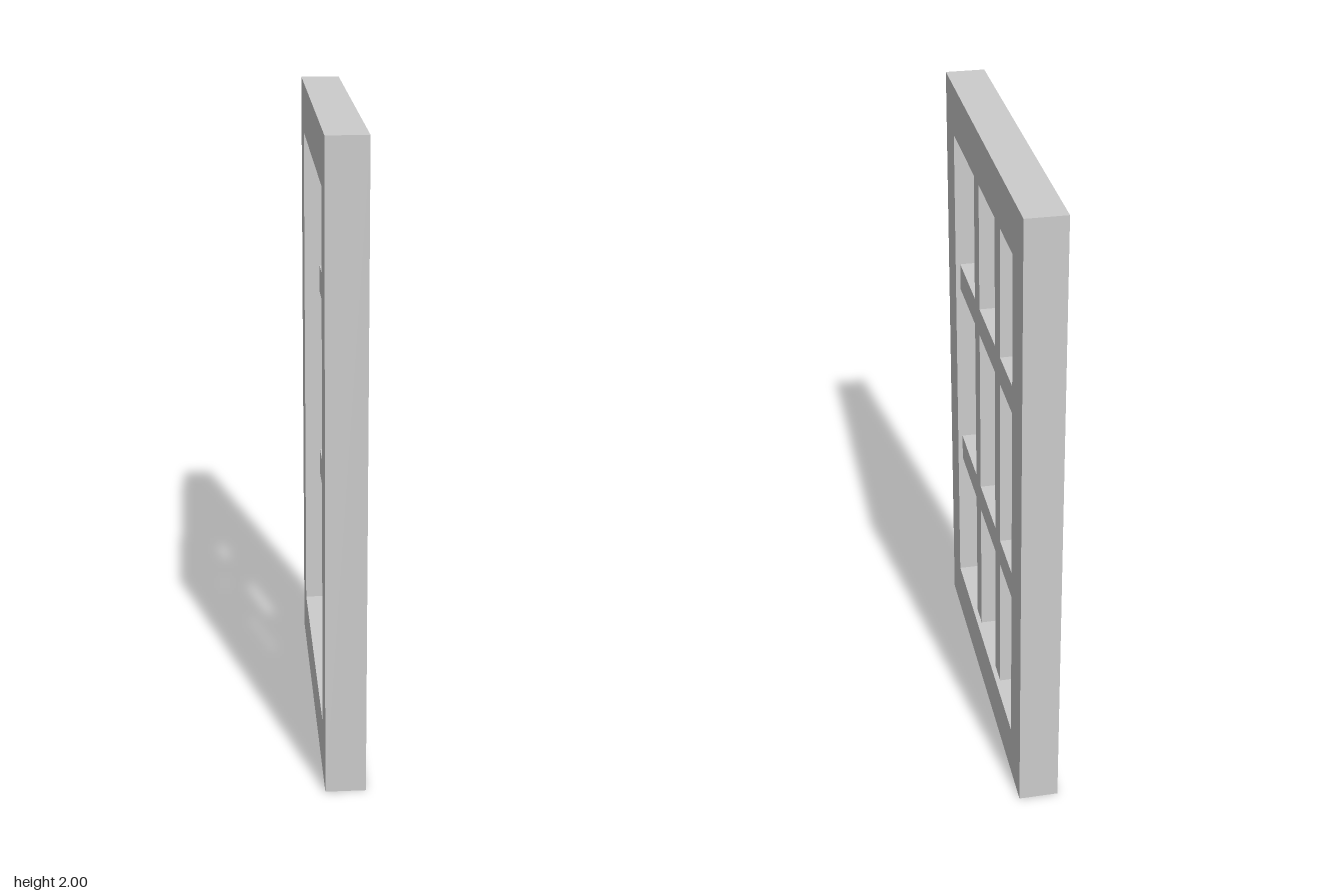
import * as THREE from 'three';

const material = new THREE.MeshStandardMaterial({ color: 0xcccccc, flatShading: true });

// Box given by its limits on each axis
function bar(name, [x0, x1], [y0, y1], [z0, z1]) {
  const mesh = new THREE.Mesh(new THREE.BoxGeometry(x1 - x0, y1 - y0, z1 - z0), material);
  mesh.position.set((x0 + x1) / 2, (y0 + y1) / 2, (z0 + z1) / 2);
  mesh.name = name;
  return mesh;
}

function rectangle(path, [u0, u1], [v0, v1]) {
  return path.moveTo(u0, v0).lineTo(u1, v0).lineTo(u1, v1).lineTo(u0, v1).closePath();
}

export function createModel() {
  const group = new THREE.Group();
  group.name = 'window';

  const depth = 0.124;
  const openingY = [0.17, 1.838];
  const openingZ = [-0.456, 0.461];

  // Outer frame: one extruded rectangle with a rectangular opening
  const shape = rectangle(new THREE.Shape(), [-0.592, 0.592], [0, 2]);
  shape.holes.push(rectangle(new THREE.Path(), [-openingZ[1], -openingZ[0]], openingY));
  const frameGeometry = new THREE.ExtrudeGeometry(shape, { depth, bevelEnabled: false });
  frameGeometry.translate(0, 0, -depth / 2).rotateY(Math.PI / 2);
  const frame = new THREE.Mesh(frameGeometry, material);
  frame.name = 'frame';
  group.add(frame);

  // Glazing bars, thinner than the frame and set towards its +x face
  const barX = [-0.011, 0.047];
  const uprights = [[-0.204, -0.127], [0.122, 0.199]];
  const rails = [[0.641, 0.731], [1.298, 1.388]];
  for (const z of uprights) group.add(bar('verticalBar', barX, openingY, z));

  // Horizontal bars run in pieces between the uprights
  const stops = [openingZ[0], ...uprights.flat(), openingZ[1]];
  for (const y of rails) {
    for (let i = 0; i < stops.length; i += 2) {
      group.add(bar('horizontalBar', barX, y, [stops[i], stops[i + 1]]));
    }
  }
  return group;
}
